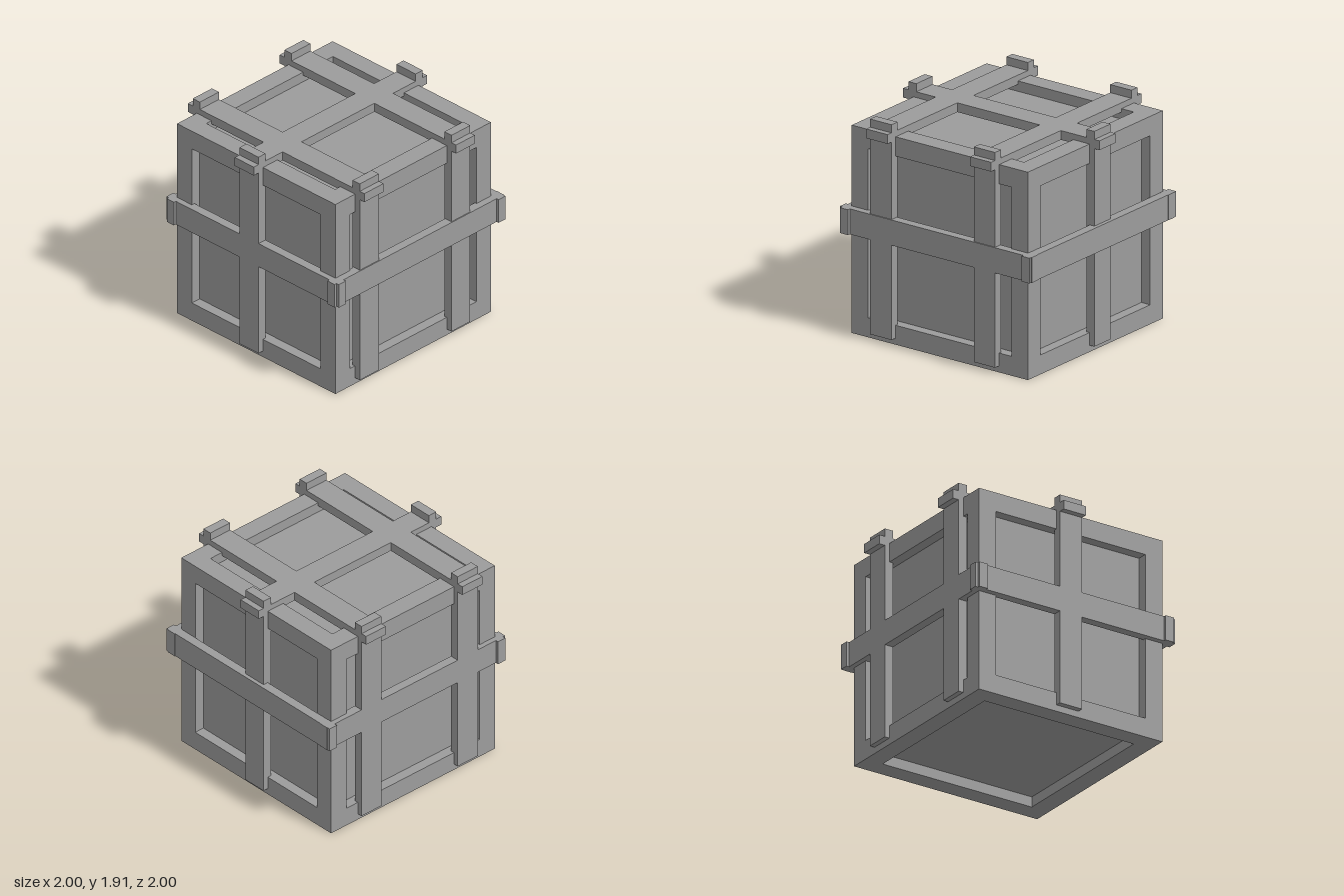
import * as THREE from 'three';

export function createModel() {
  const model = new THREE.Group();
  const material = new THREE.MeshStandardMaterial({ color: 0x9c9c9c, flatShading: true });

  // Crate: six square faces, each a raised border around a sunken panel
  const half = 0.897, opening = 0.73, depth = 0.09;
  const profile = [[half, half], [opening, half], [opening, half - depth], [0, half - depth]]
    .map(([r, y]) => new THREE.Vector2(r * Math.SQRT2, y));
  const face = new THREE.LatheGeometry(profile, 4, Math.PI / 4).toNonIndexed();
  face.computeVertexNormals();

  const crate = new THREE.Group();
  crate.name = 'crate';
  crate.position.set(0.003, half, -0.003);
  const q = Math.PI / 2;
  const faces = {
    topPanel: [0, 0], bottomPanel: [2 * q, 0], frontPanel: [q, 0],
    backPanel: [-q, 0], rightPanel: [0, q], leftPanel: [0, -q],
  };
  for (const [name, [rx, rz]] of Object.entries(faces)) {
    const mesh = new THREE.Mesh(face, material);
    mesh.name = name;
    mesh.rotation.set(rx, 0, rz);
    crate.add(mesh);
  }
  model.add(crate);

  // Straps are boxes given by their [min, max] along each axis
  function strap(name, x, y, z) {
    const mesh = new THREE.Mesh(
      new THREE.BoxGeometry(x[1] - x[0], y[1] - y[0], z[1] - z[0]), material);
    mesh.name = name;
    mesh.position.set((x[0] + x[1]) / 2, (y[0] + y[1]) / 2, (z[0] + z[1]) / 2);
    model.add(mesh);
  }
  const upright = [0.056, 1.914], lid = [1.764, 1.844], belt = [0.877, 1.096];
  const near = [0.867, 0.948], far = [-0.945, -0.865];

  // Two strap loops running front to back
  for (const x of [[-0.667, -0.447], [0.391, 0.607]]) {
    strap('frontStrap', x, upright, near);
    strap('backStrap', x, upright, far);
    strap('topStrap', x, lid, [-1, 1]);
  }

  // One strap loop running side to side
  const middle = [-0.143, 0.073];
  strap('leftStrap', near, upright, middle);
  strap('rightStrap', far, upright, middle);
  strap('topCrossStrap', [-1, 1], lid, middle);

  // Horizontal belt with ends overlapping at the corners; front and left lie over the straps
  strap('frontBelt', [-0.967, 0.988], belt, [0.877, 0.957]);
  strap('backBelt', [-0.967, 0.985], belt, far);
  strap('leftBelt', [0.902, 0.982], belt, [-0.971, 0.98]);
  strap('rightBelt', far, belt, [-0.971, 0.983]);

  return model;
}
